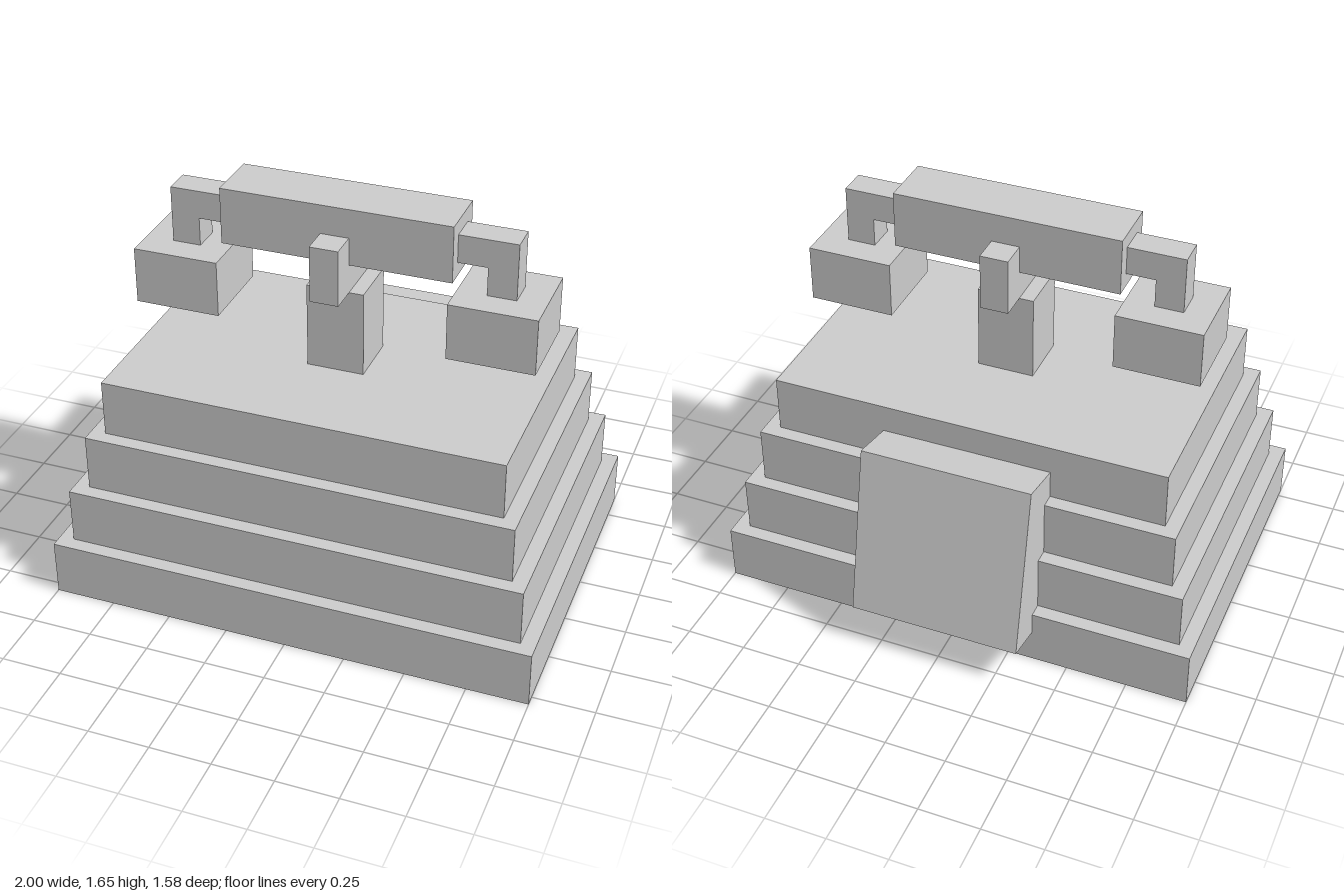
import * as THREE from 'three';

export function createModel() {
  const model = new THREE.Group();
  const material = new THREE.MeshStandardMaterial({ color: 0xcccccc, flatShading: true });
  const midZ = 0.088; // depth centre of base and handset

  const box = (name, size, position) => {
    const mesh = new THREE.Mesh(new THREE.BoxGeometry(...size), material);
    mesh.name = name;
    mesh.position.set(...position);
    model.add(mesh);
    return mesh;
  };

  // Stepped base, each tier inset evenly
  const tierHeight = 0.235;
  for (let i = 0; i < 4; i++) {
    const inset = 0.118 * i;
    box('baseTier' + (i + 1), [2 - inset * 1.02, tierHeight, 1.41 - inset],
      [0, tierHeight * (i + 0.5), midZ]);
  }

  // Tilted panel leaning into the back of the base
  box('backPanel', [0.704, 0.704, 0.235], [0, 0.498, -0.6]).rotation.x = 0.215;

  // Central post with a crossbar that holds the handle
  box('post', [0.234, 0.357, 0.234], [0, 1.1175, midZ]);
  box('cradleBar', [0.116, 0.234, 0.468], [0, 1.413, midZ]);

  // Handset: handle, bent arms and end blocks
  box('handle', [0.938, 0.235, 0.235], [0, 1.5325, midZ]);
  for (const [side, s] of [['left', 1], ['right', -1]]) {
    box(side + 'Arm', [0.236, 0.117, 0.117], [s * 0.587, 1.5315, midZ]);
    box(side + 'ArmDrop', [0.117, 0.122, 0.117], [s * 0.6465, 1.415, midZ]);
    box(side + 'EndBlock', [0.352, 0.235, 0.352], [s * 0.645, 1.2375, midZ]);
  }

  return model;
}
